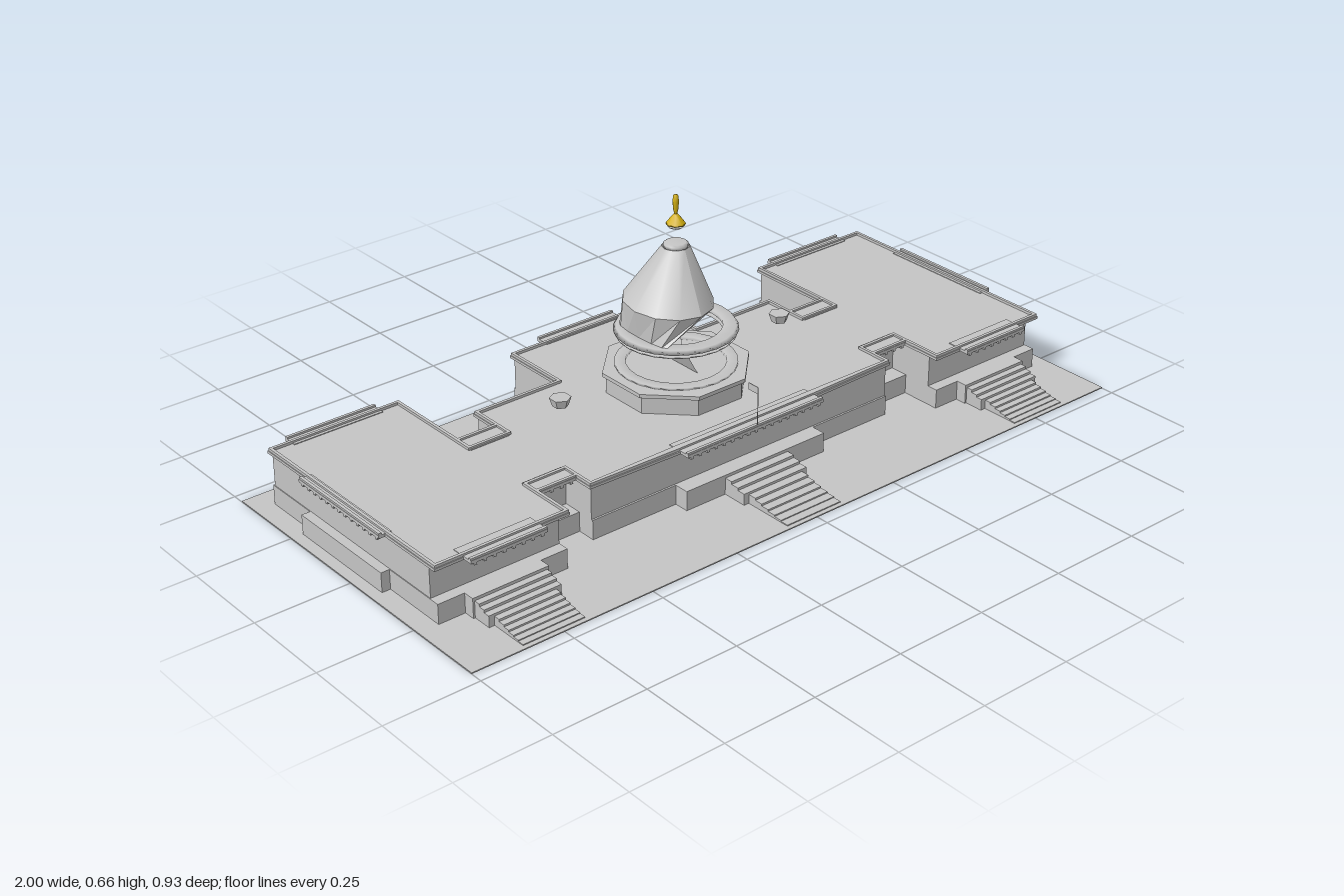
import * as THREE from 'three';

export function createModel() {
  const model = new THREE.Group();
  const stone = new THREE.MeshStandardMaterial({ color: 0xc4c4c4, side: THREE.DoubleSide });
  stone.name = 'stone';
  const gold = new THREE.MeshStandardMaterial({ color: 0xd4b010, side: THREE.DoubleSide });
  gold.name = 'gold';

  const add = (name, geo, mat = stone, parent = model) => {
    const m = new THREE.Mesh(geo, mat);
    m.name = name;
    parent.add(m);
    return m;
  };
  // box given by its limits
  const box = (name, x0, x1, y0, y1, z0, z1, parent = model) =>
    add(name, new THREE.BoxGeometry(x1 - x0, y1 - y0, z1 - z0)
      .translate((x0 + x1) / 2, (y0 + y1) / 2, (z0 + z1) / 2), stone, parent);

  // mirror the right half of a plan (x, z) to a closed outline
  const mirror = half => [...half, ...half.slice().reverse().map(([x, z]) => [-x, z])];
  // move every edge of a right-angled outline outward by d
  const offset = (pts, d) => pts.map((p, i) => {
    const n = pts.length, a = pts[(i + n - 1) % n], b = pts[(i + 1) % n];
    const s = ([x0, z0], [x1, z1]) => [Math.sign(z1 - z0) * d, -Math.sign(x1 - x0) * d];
    const u = s(a, p), v = s(p, b);
    return [p[0] + u[0] + v[0], p[1] + u[1] + v[1]];
  });
  const prism = (name, pts, y0, y1, hole) => {
    const toV = q => q.map(([x, z]) => new THREE.Vector2(x, z));
    const shape = new THREE.Shape(toV(pts));
    if (hole) shape.holes.push(new THREE.Path(toV(hole)));
    const g = new THREE.ExtrudeGeometry(shape, { depth: y1 - y0, bevelEnabled: false });
    return add(name, g.rotateX(Math.PI / 2).translate(0, y1, 0));
  };

  // ground slab
  box('ground', -1, 1, 0, 0.003, -0.467, 0.467);

  // main building: base storey, walls, cornice and parapet
  const walls = mirror([
    [0.22, -0.425], [0.22, -0.235], [0.47, -0.235], [0.47, -0.105], [0.59, -0.105],
    [0.59, -0.4], [0.945, -0.4], [0.945, 0.24], [0.59, 0.24], [0.59, 0.11],
    [0.47, 0.11], [0.47, 0.205], [0.22, 0.205]]);
  const base = mirror([
    [0.22, -0.43], [0.22, -0.235], [0.47, -0.235], [0.47, -0.16], [0.59, -0.16],
    [0.59, -0.405], [0.947, -0.405], [0.947, 0.27], [0.59, 0.27], [0.59, 0.16],
    [0.47, 0.16], [0.47, 0.21], [0.22, 0.21], [0.22, 0.25]]);
  prism('baseStorey', base, 0.003, 0.055);
  prism('walls', walls, 0.055, 0.145);
  const roofEdge = walls.map(([x, z]) => [x, z === 0.24 ? 0.265 : z]);
  prism('cornice', offset(roofEdge, 0.008), 0.142, 0.149);
  prism('parapet', offset(roofEdge, 0.006), 0.149, 0.156, offset(roofEdge, -0.002));

  // porches: a base block and an overhanging roof with a row of dentils
  const porch = (name, x0, x1, z0, z1, alongX, edge) => {
    const g = new THREE.Group();
    g.name = name;
    model.add(g);
    box('porchBase', x0, x1, 0.003, 0.055, z0, z1, g);
    box('porchRoof', x0, x1, 0.143, 0.151, z0, z1, g);
    const a = alongX ? x0 : z0, b = alongX ? x1 : z1;
    if (alongX) box('porchParapet', a, b, 0.151, 0.156, edge - 0.004, edge + 0.004, g);
    else box('porchParapet', edge - 0.004, edge + 0.004, 0.151, 0.156, a, b, g);
    const n = Math.max(4, Math.round((b - a) / 0.026));
    for (let i = 0; i < n; i++) {
      const t = a + (b - a) * (i + 0.5) / n;
      const [x, z] = alongX ? [t, edge] : [edge, t];
      box('dentil', x - 0.004, x + 0.004, 0.136, 0.143, z - 0.004, z + 0.004, g);
    }
  };
  for (const s of [-1, 1]) {
    const span = (a, b) => s > 0 ? [a, b] : [-b, -a];
    porch('sidePorch', ...span(0.935, 0.97), -0.245, 0.083, false, s * 0.965);
    porch('backWingPorch', ...span(0.64, 0.89), -0.43, -0.39, true, -0.425);
    porch('frontWingPorch', ...span(0.665, 0.875), 0.235, 0.3, true, 0.295);
    porch('backLinkPorch', ...span(0.475, 0.588), -0.16, -0.1, true, -0.155);
    porch('frontLinkPorch', ...span(0.475, 0.588), 0.1, 0.16, true, 0.155);
  }
  porch('backPorch', -0.12, 0.12, -0.462, -0.42, true, -0.457);
  porch('frontPorch', -0.215, 0.215, 0.18, 0.25, true, 0.245);

  // front stairs, flattening towards the bottom
  const stairs = (cx, z0, half) => {
    const g = new THREE.Group();
    g.name = 'frontStairs';
    model.add(g);
    const n = 9, d = (0.455 - z0) / n;
    for (let i = 0; i < n; i++) {
      const w = half * (i < 3 ? 1 : 0.85);
      const h = 0.005 + 0.046 * Math.pow(1 - (i + 0.5) / n, 1.5);
      box('step', cx - w, cx + w, 0, h, z0 + i * d, z0 + (i + 1) * d, g);
    }
  };
  stairs(0, 0.25, 0.1);
  stairs(-0.77, 0.3, 0.1);
  stairs(0.77, 0.3, 0.1);

  // dome tower, built around its own axis
  const tower = new THREE.Group();
  tower.name = 'tower';
  tower.position.z = -0.052;
  model.add(tower);
  const oct = (name, apothem, y0, y1) => {
    const r = apothem / Math.cos(Math.PI / 8);
    const g = new THREE.CylinderGeometry(r, r, y1 - y0, 8).toNonIndexed();
    g.rotateY(Math.PI / 8).translate(0, (y0 + y1) / 2, 0);
    g.computeVertexNormals();
    add(name, g, stone, tower);
  };
  oct('octagonBase', 0.166, 0.149, 0.195);
  oct('octagonCornice', 0.175, 0.195, 0.205);
  const lathe = (name, pts, sides, mat = stone) => add(name,
    new THREE.LatheGeometry(pts.map(p => new THREE.Vector2(...p)), sides), mat, tower);
  lathe('lowerRing', [[0.125, 0.205], [0.153, 0.206], [0.153, 0.213], [0.125, 0.213], [0.125, 0.205]], 24);

  // folded drum panel
  const panel = new THREE.BufferGeometry();
  panel.setAttribute('position', new THREE.Float32BufferAttribute([
    -0.035, 0.283, 0.068, 0, 0.207, 0.082, 0, 0.207, -0.078,
    -0.035, 0.283, 0.068, 0, 0.207, -0.078, 0.065, 0.283, -0.078], 3));
  panel.computeVertexNormals();
  add('drumPanel', panel, stone, tower);

  // gallery rings under the dome
  lathe('galleryRingLower', [[0.115, 0.291], [0.15, 0.291], [0.153, 0.297], [0.115, 0.297], [0.115, 0.291]], 24);
  lathe('galleryRingUpper', [[0.115, 0.302], [0.155, 0.302], [0.148, 0.312], [0.115, 0.312], [0.115, 0.302]], 24);

  // slanted lower dome band: lower rim squeezed to one side
  const band = new THREE.CylinderGeometry(0.125, 0.09, 0.075, 12, 1, true).translate(0, 0.3475, 0);
  const bp = band.attributes.position;
  for (let i = 0; i < bp.count; i++) {
    const low = bp.getY(i) < 0.34;
    bp.setX(i, low ? bp.getX(i) * 0.15 - 0.105 : bp.getX(i) * 0.84 - 0.025);
  }
  const flatBand = band.toNonIndexed();
  flatBand.computeVertexNormals();
  add('lowerDome', flatBand, stone, tower);

  // upper dome, leaning out at the rim
  const dome = new THREE.CylinderGeometry(0.034, 0.125, 0.137, 12, 1, true).translate(0, 0.4535, 0);
  const dp = dome.attributes.position;
  for (let i = 0; i < dp.count; i++) {
    if (dp.getY(i) < 0.45) dp.setX(i, dp.getX(i) * 0.84 - 0.025);
  }
  dome.computeVertexNormals();
  add('upperDome', dome, stone, tower);
  lathe('domeCap', [[0, 0.52], [0.031, 0.52], [0.031, 0.528], [0.025, 0.532], [0, 0.532]], 12);

  // floating lantern base and gilded finial
  lathe('lanternBase', [[0, 0.57], [0.017, 0.57], [0.022, 0.575], [0, 0.575]], 8);
  lathe('finialCone', [[0, 0.579], [0.025, 0.579], [0.023, 0.583], [0.007, 0.603], [0, 0.607]], 8, gold);
  lathe('finialSpike', [[0.003, 0.603], [0.006, 0.615], [0.008, 0.637], [0.006, 0.653], [0, 0.656]], 8, gold);

  // small roof lanterns
  for (const s of [-1, 1]) {
    const g = new THREE.CylinderGeometry(0.027, 0.02, 0.022, 6, 1).toNonIndexed();
    g.computeVertexNormals();
    add('roofLantern', g).position.set(s * 0.35, 0.213, -0.063);
  }

  // flag and pole above the front porch
  box('flagPole', -0.0008, 0.0008, 0.156, 0.258, 0.25, 0.2515);
  box('flag', -0.001, 0.001, 0.24, 0.258, 0.218, 0.25);
  return model;
}
